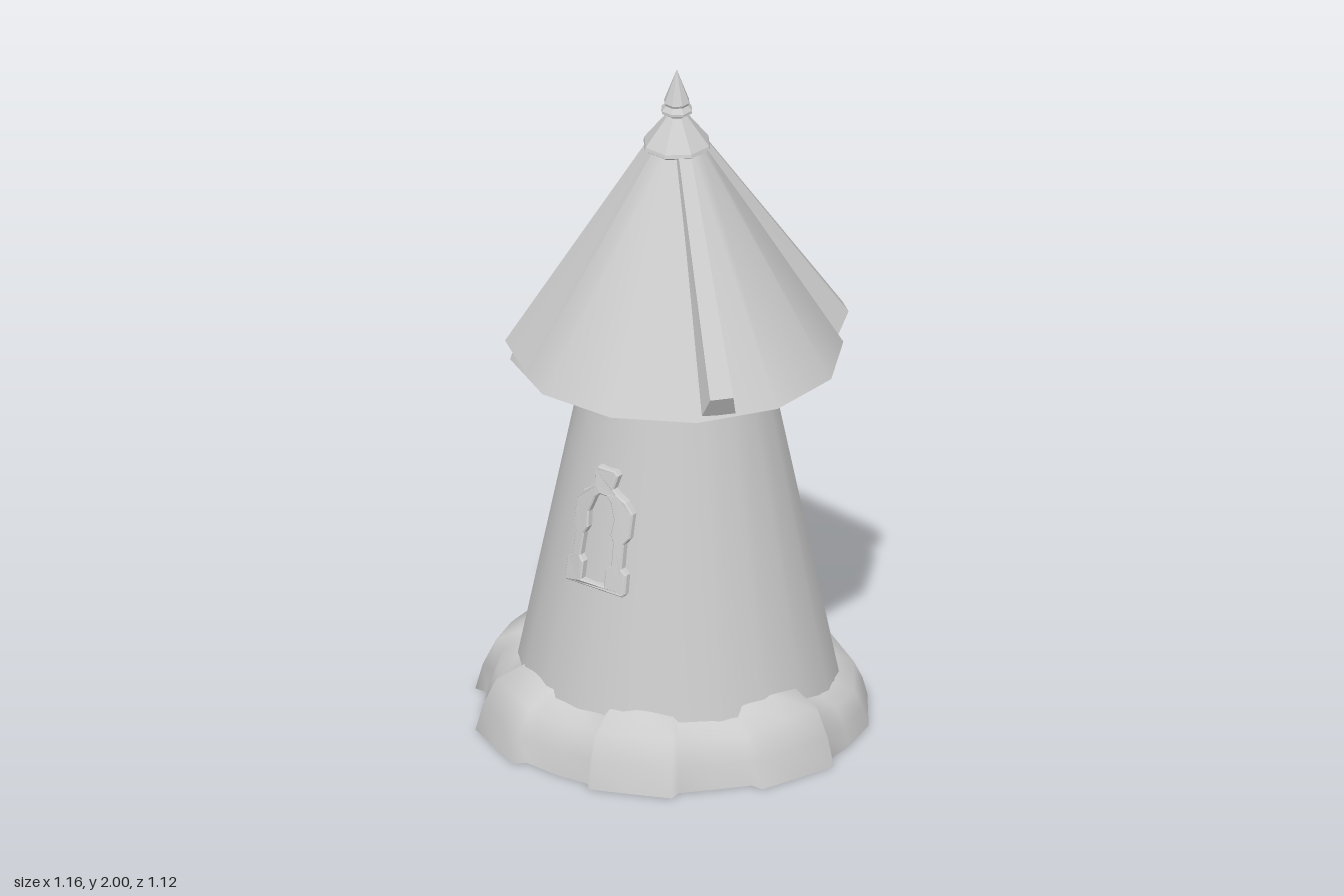
import * as THREE from 'three';

const CX = -0.004, CZ = -0.014; // tower axis
const towerRadius = (y) => 0.255 + (1.12 - y) * 0.203;

const smooth = new THREE.MeshStandardMaterial({ color: 0xcccccc, side: THREE.DoubleSide });
const faceted = new THREE.MeshStandardMaterial({ color: 0xcccccc, side: THREE.DoubleSide, flatShading: true });

function add(group, name, geometry, material) {
  const mesh = new THREE.Mesh(geometry, material);
  mesh.name = name;
  group.add(mesh);
  return mesh;
}

// Builds a skin between closed rings of points (each ring listed counter-clockwise from above)
function loft(rings) {
  const n = rings[0].length, index = [];
  for (let j = 0; j < rings.length - 1; j++) {
    for (let i = 0; i < n; i++) {
      const a = j * n + i, b = j * n + (i + 1) % n;
      index.push(a, b, b + n, a, b + n, a + n);
    }
  }
  const geometry = new THREE.BufferGeometry();
  geometry.setAttribute('position', new THREE.Float32BufferAttribute(rings.flat(2), 3));
  geometry.setIndex(index);
  geometry.computeVertexNormals();
  return geometry;
}

// Flared foot: ground outline as [x, z, height], with bulging stones around the front
function footGeometry() {
  const outline = [
    [0.54, -0.02, 0.16], [0.53, -0.12, 0.14], [0.49, -0.26, 0.13], [0.36, -0.42, 0.13],
    [0.19, -0.53, 0.13], [0.05, -0.56, 0.13], [-0.1, -0.55, 0.13], [-0.21, -0.52, 0.13],
    [-0.34, -0.43, 0.13], [-0.43, -0.36, 0.13], [-0.53, -0.17, 0.14], [-0.545, -0.02, 0.16],
    [-0.58, 0, 0.2], [-0.555, 0.12, 0.21], [-0.53, 0.235, 0.2], [-0.485, 0.235, 0.17],
    [-0.43, 0.33, 0.17], [-0.36, 0.415, 0.17], [-0.365, 0.445, 0.19], [-0.255, 0.5, 0.2],
    [-0.145, 0.555, 0.19], [-0.12, 0.525, 0.17], [0, 0.535, 0.17], [0.1, 0.527, 0.17],
    [0.125, 0.553, 0.19], [0.235, 0.505, 0.2], [0.345, 0.455, 0.19], [0.34, 0.415, 0.17],
  ].concat([[0.41, 0.33, 0.17], [0.47, 0.25, 0.17], [0.51, 0.25, 0.2], [0.545, 0.13, 0.21], [0.577, 0.01, 0.2]]).reverse();
  // [share of height, share of the way in to the tower wall]
  const levels = [[0, 0], [0.4, 0.15], [0.8, 0.42], [1, 1]];
  return loft(levels.map(([up, inward]) => outline.map(([x, z, h]) => {
    const dx = x - CX, dz = z - CZ, r = Math.hypot(dx, dz);
    const k = THREE.MathUtils.lerp(r, towerRadius(h) - 0.003, inward) / r;
    return [CX + dx * k, Math.max(0, up * h), CZ + dz * k];
  })));
}

// Window surround: stone frame bent onto the tapered wall
function windowGeometry() {
  const mirrored = (half) => [...half, ...half.slice().reverse().map(([x, y]) => [-x, y])]
    .map(([x, y]) => new THREE.Vector2(x, y));
  const shape = new THREE.Shape(mirrored([
    [0.1, 0.52], [0.108, 0.53], [0.105, 0.585], [0.088, 0.6], [0.085, 0.67], [0.1, 0.69],
    [0.1, 0.76], [0.075, 0.79], [0.05, 0.805], [0.032, 0.82], [0.042, 0.86], [0.03, 0.872],
  ]));
  shape.holes.push(new THREE.Path(mirrored([
    [0.04, 0.54], [0.04, 0.59], [0.055, 0.605], [0.052, 0.67], [0.04, 0.69],
    [0.045, 0.735], [0.028, 0.78], [0.012, 0.795],
  ])));
  const geometry = new THREE.ExtrudeGeometry(shape, {
    depth: 0.022, bevelEnabled: true, bevelSize: 0.004, bevelThickness: 0.004, bevelOffset: -0.004, bevelSegments: 1,
  });
  const p = geometry.attributes.position;
  for (let i = 0; i < p.count; i++) {
    const x = p.getX(i), r = towerRadius(p.getY(i));
    p.setZ(i, p.getZ(i) - 0.008 + Math.sqrt(r * r - x * x));
  }
  geometry.computeVertexNormals();
  return geometry;
}

// Roof rib: tapering trapezoid bar running down along +x
function ribGeometry() {
  const section = (rIn, yIn, rOut, yOut, wIn, wOut) => [
    [rIn, yIn, wIn], [rIn, yIn, -wIn], [rOut, yOut, -wOut], [rOut, yOut, wOut],
  ];
  const low = section(0.455, 1.13, 0.492, 1.197, 0.05, 0.034);
  const high = section(0.06, 1.74, 0.085, 1.775, 0.026, 0.018);
  const geometry = loft([low, high]);
  geometry.setIndex([...geometry.index.array, 0, 2, 1, 0, 3, 2, 4, 5, 6, 4, 6, 7]);
  return geometry;
}

export function createModel() {
  const model = new THREE.Group();
  model.name = 'tower';

  add(model, 'foot', footGeometry(), smooth);

  const body = new THREE.Group();
  body.name = 'body';
  body.position.set(CX, 0, CZ);
  model.add(body);

  // Tapered wall, open at both ends
  const wall = new THREE.CylinderGeometry(towerRadius(1.17), towerRadius(0.12), 1.05, 20, 1, true);
  add(body, 'wall', wall.translate(0, 0.645, 0), smooth);
  add(body, 'windowFrame', windowGeometry(), faceted);

  // Hollow twelve-sided roof
  const roof = new THREE.CylinderGeometry(0.075, 0.473, 0.65, 12, 1, true, Math.PI / 12);
  add(body, 'roof', roof.translate(0, 1.445, 0), smooth);

  // Four ribs
  for (let i = 0; i < 4; i++) {
    const rib = add(body, 'roofRib', ribGeometry(), faceted);
    rib.rotation.y = -THREE.MathUtils.degToRad(37 + i * 90);
  }

  // Cap and pointed finial
  const profile = [
    [0, 1.75], [0.085, 1.755], [0.1, 1.765], [0.097, 1.775], [0.03, 1.86],
    [0.046, 1.87], [0.046, 1.878], [0.034, 1.892], [0.038, 1.9], [0, 2],
  ].map(([x, y]) => new THREE.Vector2(x, y));
  add(body, 'finial', new THREE.LatheGeometry(profile, 8, Math.PI / 10), faceted);

  return model;
}
